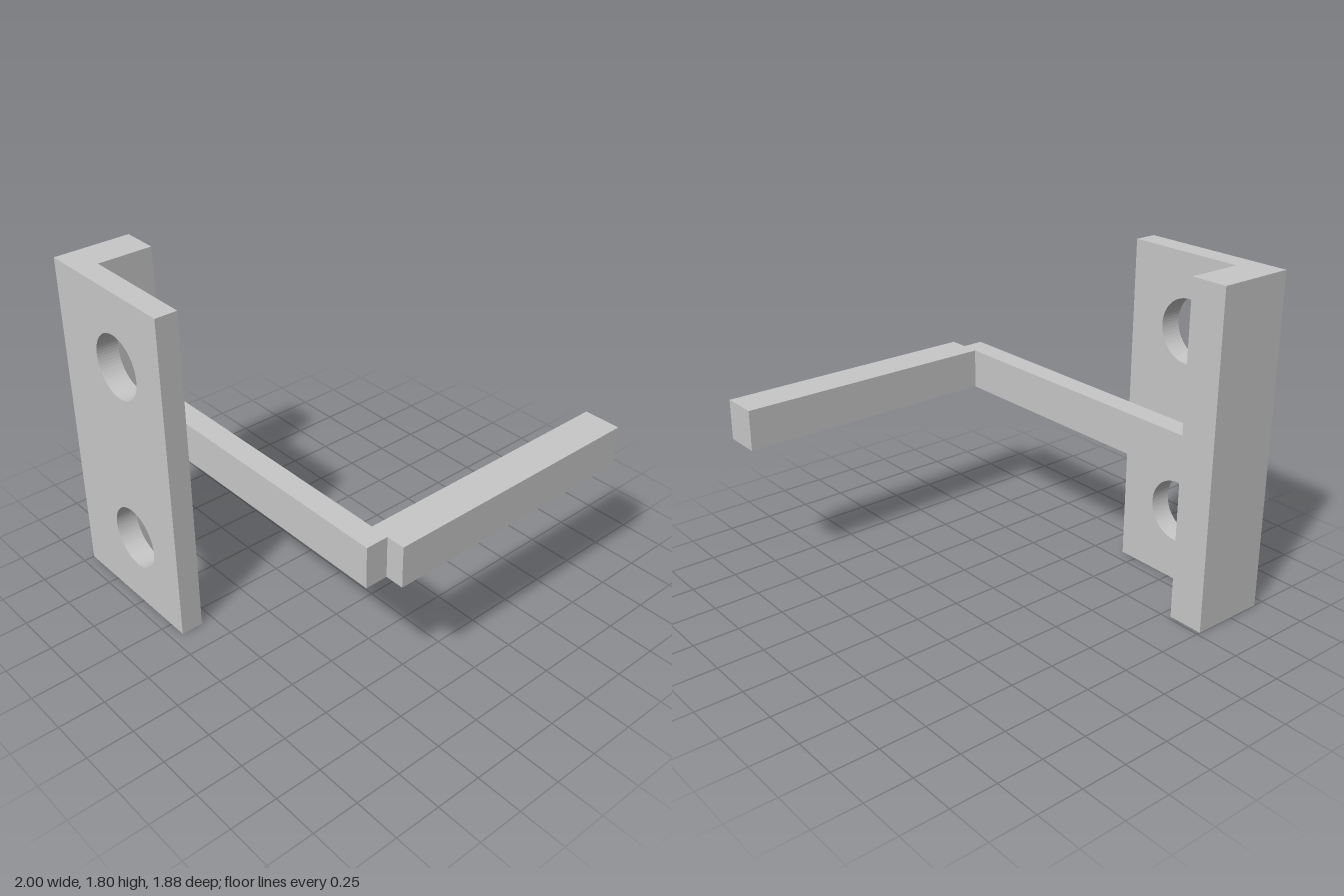
import * as THREE from 'three';

export function createModel() {
  const group = new THREE.Group();
  const grey = new THREE.MeshStandardMaterial({ color: 0xc8c8c8 });
  grey.name = 'light grey';

  const add = (name, geometry) => {
    const mesh = new THREE.Mesh(geometry, grey);
    mesh.name = name;
    group.add(mesh);
    return mesh;
  };

  // Mounting plate with two round screw holes
  const plate = new THREE.Shape([[-0.8, 0], [-0.15, 0], [-0.15, 1.8], [-0.8, 1.8]]
    .map(([x, y]) => new THREE.Vector2(x, y)));
  for (const y of [0.4, 1.4]) {
    plate.holes.push(new THREE.Path().absarc(-0.525, y, 0.17, 0, Math.PI * 2, true));
  }
  add('mountingPlate', new THREE.ExtrudeGeometry(plate, { depth: 0.12, bevelEnabled: false, curveSegments: 32 }))
    .position.z = 0.82;

  // Flange folded back along the plate's edge
  add('sideFlange', new THREE.BoxGeometry(0.2, 1.8, 0.42)).position.set(-0.9, 0.9, 0.73);

  // Bent arm: plan outline as [x, z], extruded upward
  const outline = [[-0.8, 0.64], [0.9, 0.64], [0.9, 0.52], [1, 0.52],
    [1, -0.94], [0.8, -0.94], [0.8, 0.52], [-0.8, 0.52]];
  const arm = new THREE.Shape(outline.map(([x, z]) => new THREE.Vector2(x, -z)));
  const armGeometry = new THREE.ExtrudeGeometry(arm, { depth: 0.22, bevelEnabled: false });
  armGeometry.rotateX(-Math.PI / 2);
  add('bentArm', armGeometry).position.y = 0.79;

  return group;
}
